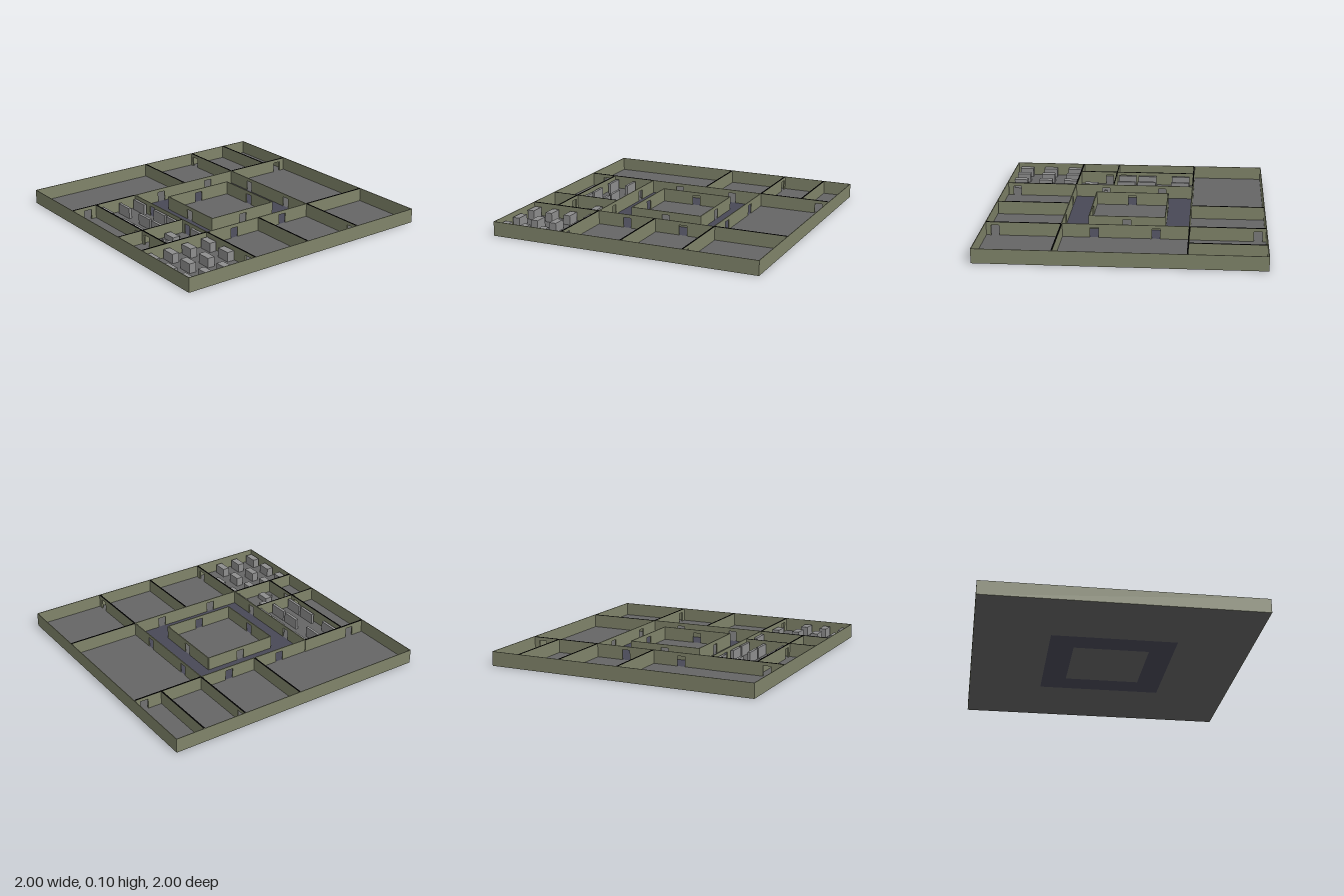
import * as THREE from 'three';

const HEIGHT = 0.105, FLOOR = 0.006, DOOR_W = 0.06, DOOR_H = 0.08;

export function createModel() {
  const model = new THREE.Group();
  model.name = 'floorPlan';
  const mat = (name, color) => {
    const m = new THREE.MeshStandardMaterial({ color });
    m.name = name;
    return m;
  };
  const olive = mat('olive wall', 0x80846a);
  const grey = mat('grey floor', 0x656565);
  const purple = mat('corridor floor', 0x484856);
  const light = mat('furniture grey', 0x8e8e8e);
  const black = mat('black wall cap', 0x050505);

  // Box given by its limits on each axis
  function box(name, material, x0, x1, y0, y1, z0, z1, parent = model) {
    const mesh = new THREE.Mesh(new THREE.BoxGeometry(x1 - x0, y1 - y0, z1 - z0), material);
    mesh.position.set((x0 + x1) / 2, (y0 + y1) / 2, (z0 + z1) / 2);
    mesh.name = name;
    parent.add(mesh);
  }

  // Flat floor: a square with a square hole
  function floorRing(name, material, outer, inner) {
    const square = (path, r) => {
      path.moveTo(-r, -r); path.lineTo(r, -r); path.lineTo(r, r); path.lineTo(-r, r); path.closePath();
      return path;
    };
    const shape = square(new THREE.Shape(), outer);
    shape.holes.push(square(new THREE.Path(), inner));
    const geo = new THREE.ExtrudeGeometry(shape, { depth: FLOOR, bevelEnabled: false });
    geo.rotateX(-Math.PI / 2);
    const mesh = new THREE.Mesh(geo, material);
    mesh.name = name;
    model.add(mesh);
  }

  // Wall along x or z, with door openings cut at the given positions
  function wall(name, axis, at, from, to, { doors = [], thick = 0.01, cap = true } = {}) {
    const group = new THREE.Group();
    group.name = name;
    model.add(group);
    const top = cap ? HEIGHT - 0.002 : HEIGHT;
    const piece = (label, material, a, b, y0, y1) => {
      const l = at - thick / 2, h = at + thick / 2;
      if (axis === 'x') box(label, material, a, b, y0, y1, l, h, group);
      else box(label, material, l, h, y0, y1, a, b, group);
    };
    let start = from;
    for (const d of doors) {
      piece('wallPanel', olive, start, d - DOOR_W / 2, FLOOR, top);
      piece('lintel', olive, d - DOOR_W / 2, d + DOOR_W / 2, DOOR_H, top);
      start = d + DOOR_W / 2;
    }
    piece('wallPanel', olive, start, to, FLOOR, top);
    if (cap) piece('wallCap', black, from, to, top, HEIGHT);
  }

  // Floors
  floorRing('roomFloor', grey, 0.996, 0.455);
  floorRing('corridorFloor', purple, 0.455, 0.275);
  box('courtFloor', grey, -0.275, 0.275, 0, FLOOR, -0.275, 0.275);

  // Outer shell, corridor walls and central court walls
  for (const s of [-1, 1]) {
    box('outerWall', olive, -1, 1, 0, HEIGHT, s * 0.9975 - 0.0025, s * 0.9975 + 0.0025);
    box('outerWall', olive, s * 0.9975 - 0.0025, s * 0.9975 + 0.0025, 0, HEIGHT, -0.995, 0.995);
    for (const axis of ['x', 'z']) {
      wall('corridorWall', axis, s * 0.455, -0.455, 0.455, { doors: [-0.22, 0.22], thick: 0.007, cap: false });
      wall('courtWall', axis, s * 0.275, -0.275, 0.275, { doors: [0], thick: 0.007, cap: false });
    }
  }

  // Partitions between the rooms
  wall('partition', 'z', -0.457, -0.99, -0.457, { doors: [-0.92] });
  wall('partition', 'z', -0.457, 0.457, 0.99, { doors: [0.87] });
  wall('partition', 'z', 0.453, -0.995, -0.457);
  wall('partition', 'z', 0.453, 0.457, 0.995);
  wall('partition', 'x', -0.782, -0.995, -0.462);
  wall('partition', 'x', -0.457, -0.995, -0.462, { doors: [-0.94] });
  wall('partition', 'x', -0.457, 0.458, 0.995, { doors: [0.93] });
  wall('partition', 'x', 0.455, 0.458, 0.99, { doors: [0.92] });
  wall('partition', 'x', 0, -0.995, -0.46);
  wall('partition', 'x', 0, 0.46, 0.99);
  wall('partition', 'x', 0.797, -0.452, 0.448, { doors: [0.1, 0.22] });
  wall('partition', 'z', 0.16, 0.459, 0.792, { thick: 0.006 });
  wall('partition', 'z', 0.16, 0.802, 0.995, { thick: 0.006 });

  // Furniture, placed by centre and size
  const item = (name, x, z, w, d, h) =>
    box(name, light, x - w / 2, x + w / 2, FLOOR, h, z - d / 2, z + d / 2);

  // Cabinets in the corner room, leaving the doorway clear
  [0.493, 0.655, 0.806, 0.957].forEach((z, row) => {
    for (const x of [0.523, 0.722, 0.92]) {
      if (row === 0 && x > 0.9) continue;
      item('cabinet', x, z, 0.105, 0.053, 0.075);
    }
  });

  // Shelves in the store room
  for (const z of [0.48, 0.61, 0.76])
    for (const x of [-0.355, -0.087, 0.073]) item('shelf', x, z, 0.142, 0.021, 0.085);

  // Small meeting room
  item('shelf', 0.368, 0.475, 0.14, 0.021, 0.085);
  item('table', 0.233, 0.598, 0.105, 0.053, 0.045);
  item('table', 0.358, 0.681, 0.105, 0.053, 0.045);
  for (const [x, z] of [[0.229, 0.545], [0.229, 0.664], [0.363, 0.738]])
    item('stool', x, z, 0.022, 0.022, 0.03);

  return model;
}
